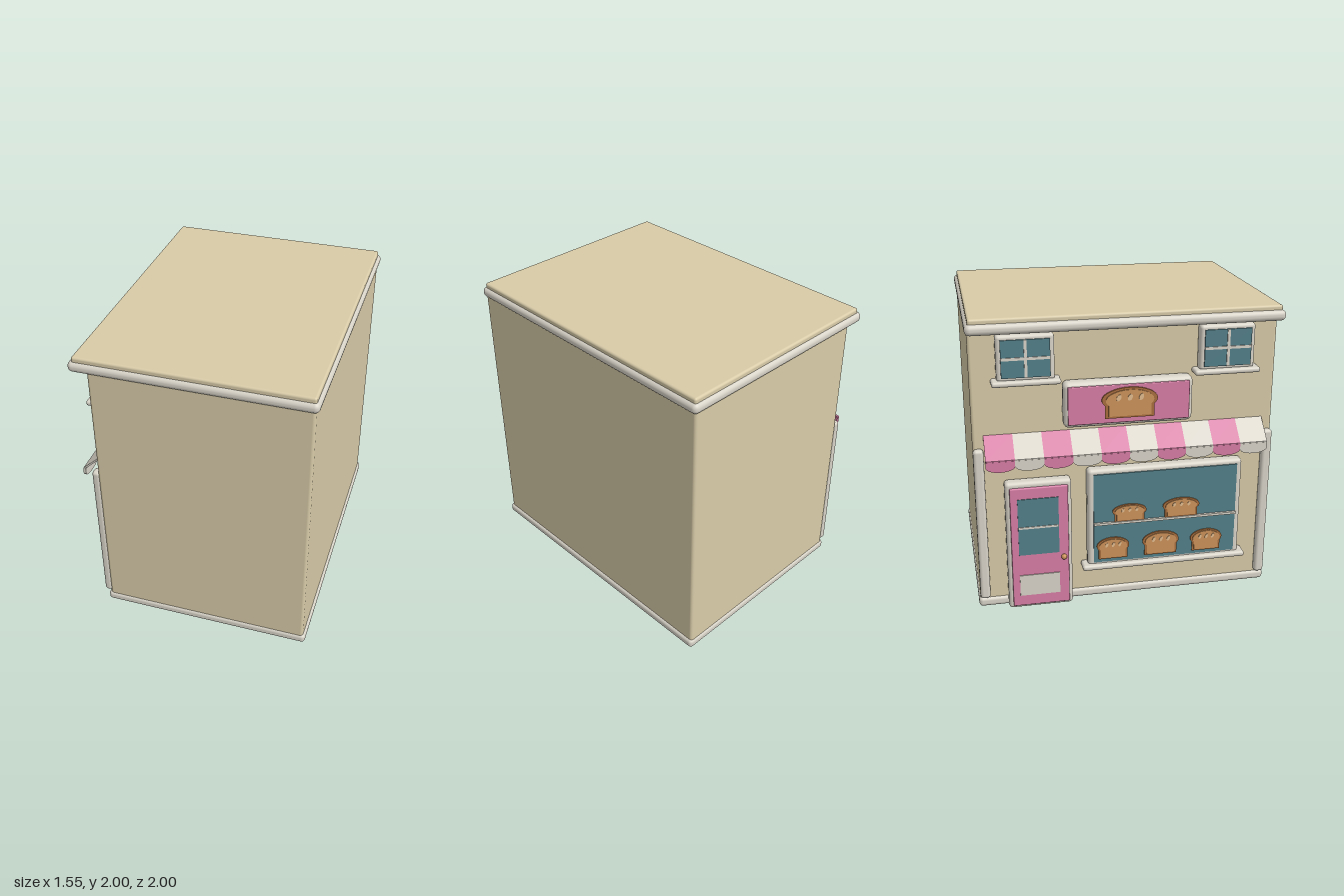
import * as THREE from 'three';
import { RoundedBoxGeometry } from 'three/addons/geometries/RoundedBoxGeometry.js';

const material = (name, color) => {
  const m = new THREE.MeshStandardMaterial({ color });
  m.name = name;
  return m;
};

export function createModel() {
  const wall = material('wall beige', 0xd8cba8);
  const trim = material('trim white', 0xd9d4c9);
  const pink = material('shop pink', 0xd87fa6);
  const glass = material('glass teal', 0x54808a);
  const crust = material('bread crust', 0xa86f3e);
  const bread = material('bread golden', 0xcd935a);
  const slash = material('bread slash', 0xe3bd90);

  const shop = new THREE.Group();
  shop.name = 'bakeryShop';

  const add = (parent, name, geometry, mat) => {
    const mesh = new THREE.Mesh(geometry, mat);
    mesh.name = name;
    parent.add(mesh);
    return mesh;
  };
  const group = (name) => {
    const g = new THREE.Group();
    g.name = name;
    shop.add(g);
    return g;
  };

  // Box given by its limits on each axis, with rounded edges when r > 0
  const block = (parent, name, mat, [x0, x1], [y0, y1], [z0, z1], r = 0) => {
    const size = [x1 - x0, y1 - y0, z1 - z0];
    const geo = r ? new RoundedBoxGeometry(...size, 3, r) : new THREE.BoxGeometry(...size);
    const mesh = add(parent, name, geo, mat);
    mesh.position.set((x0 + x1) / 2, (y0 + y1) / 2, (z0 + z1) / 2);
    return mesh;
  };

  // Flat shape drawn in (z, y), extruded outwards towards -x
  const plate = (parent, name, mat, shape, x, y, z, depth) => {
    const geo = new THREE.ExtrudeGeometry(shape, { depth, bevelEnabled: false, curveSegments: 10 });
    geo.rotateY(-Math.PI / 2);
    const mesh = add(parent, name, geo, mat);
    mesh.position.set(x, y, z);
    return mesh;
  };

  // Building shell
  block(shop, 'walls', wall, [-0.64, 0.755], [0, 1.92], [-0.985, 0.985], 0.02);
  block(shop, 'baseTrim', trim, [-0.655, 0.77], [0.004, 0.07], [-0.995, 0.995], 0.025);
  block(shop, 'cornice', trim, [-0.76, 0.775], [1.9, 1.97], [-1, 1], 0.032);
  block(shop, 'roof', wall, [-0.735, 0.755], [1.95, 2], [-0.98, 0.98], 0.015);
  for (const s of [-1, 1]) {
    const z = s * 0.952;
    block(shop, 'pilaster', trim, [-0.685, -0.63], [0.08, 1.145], [z - 0.033, z + 0.033], 0.022);
  }

  // Loaf outline: straight sides and a domed, overhanging top
  const loafShape = (w, h) => {
    const s = new THREE.Shape();
    s.moveTo(-w * 0.44, 0);
    s.lineTo(w * 0.44, 0);
    s.lineTo(w * 0.44, h * 0.42);
    s.bezierCurveTo(w * 0.56, h * 0.6, w * 0.48, h * 0.8, w * 0.32, h * 0.9);
    s.bezierCurveTo(w * 0.15, h * 1.03, -w * 0.15, h * 1.03, -w * 0.32, h * 0.9);
    s.bezierCurveTo(-w * 0.48, h * 0.8, -w * 0.56, h * 0.6, -w * 0.44, h * 0.42);
    s.closePath();
    return s;
  };
  const loaf = (name, x, y, z, w, h, depth) => {
    const g = group(name);
    plate(g, 'crust', crust, loafShape(w, h), x, y, z, depth);
    plate(g, 'crumb', bread, loafShape(w * 0.86, h * 0.86), x - depth, y + h * 0.07, z, 0.006);
    for (const i of [-1, 0, 1]) {
      const cut = new THREE.Shape();
      cut.absellipse(0, 0, w * 0.04, h * 0.11, 0, Math.PI * 2, false, 0);
      const m = plate(g, 'slash', slash, cut, x - depth - 0.006, y + h * 0.68, z + i * w * 0.2, 0.004);
      m.rotation.x = 0.4;
    }
  };

  // Door
  const door = group('door');
  block(door, 'doorFrame', trim, [-0.715, -0.63], [0.005, 0.92], [-0.8, -0.37], 0.025);
  block(door, 'doorLeaf', pink, [-0.73, -0.68], [0.03, 0.885], [-0.772, -0.395], 0.008);
  block(door, 'doorGlass', glass, [-0.735, -0.728], [0.41, 0.81], [-0.725, -0.46]);
  block(door, 'doorMuntin', trim, [-0.739, -0.73], [0.6, 0.614], [-0.725, -0.46]);
  block(door, 'doorPanel', trim, [-0.736, -0.728], [0.11, 0.26], [-0.725, -0.46]);
  add(door, 'doorKnob', new THREE.SphereGeometry(0.019, 16, 12), bread).position.set(-0.738, 0.375, -0.43);

  // Display window with shelf and loaves
  const display = group('displayWindow');
  block(display, 'displayFrame', trim, [-0.715, -0.63], [0.26, 0.967], [-0.265, 0.775], 0.025);
  block(display, 'displayGlass', glass, [-0.723, -0.7], [0.3, 0.935], [-0.228, 0.738]);
  block(display, 'displaySill', trim, [-0.748, -0.64], [0.25, 0.288], [-0.305, 0.815], 0.017);
  block(display, 'shelf', trim, [-0.74, -0.715], [0.578, 0.594], [-0.228, 0.738]);
  for (const [z, y, w, h] of [
    [-0.1, 0.325, 0.22, 0.155], [0.225, 0.325, 0.25, 0.17], [0.54, 0.325, 0.22, 0.155],
    [0.01, 0.594, 0.23, 0.12], [0.36, 0.594, 0.25, 0.135],
  ]) loaf('displayLoaf', -0.72, y, z, w, h, 0.012);

  // Sign board with a loaf emblem
  const sign = group('sign');
  block(sign, 'signBoard', trim, [-0.735, -0.63], [1.27, 1.57], [-0.415, 0.415], 0.036);
  block(sign, 'signPanel', pink, [-0.745, -0.72], [1.295, 1.545], [-0.39, 0.39], 0.006);
  loaf('signLoaf', -0.744, 1.33, 0, 0.36, 0.2, 0.012);

  // Upper windows
  for (const s of [-1, 1]) {
    const z = s * 0.64;
    const win = group('upperWindow');
    block(win, 'windowFrame', trim, [-0.705, -0.63], [1.59, 1.885], [z - 0.18, z + 0.18], 0.022);
    block(win, 'windowGlass', glass, [-0.714, -0.7], [1.618, 1.857], [z - 0.152, z + 0.152]);
    block(win, 'windowSill', trim, [-0.737, -0.63], [1.567, 1.602], [z - 0.215, z + 0.215], 0.016);
    block(win, 'verticalMuntin', trim, [-0.721, -0.713], [1.618, 1.857], [z - 0.009, z + 0.009]);
    block(win, 'crossMuntin', trim, [-0.72, -0.713], [1.73, 1.748], [z - 0.152, z + 0.152]);
  }

  // Striped awning: sloped strips, each ending in a scalloped valance
  const awning = group('awning');
  const strips = 10, left = -0.915, w = 0.183;
  const slope = new THREE.Shape([
    [0.635, 1.235], [0.775, 1.107], [0.775, 1.092], [0.635, 1.22],
  ].map(([x, y]) => new THREE.Vector2(-x, y)));
  const valance = new THREE.Shape();
  valance.moveTo(-w / 2, 0.07);
  valance.lineTo(-w / 2, 0.03);
  valance.bezierCurveTo(-w * 0.42, -0.012, w * 0.42, -0.012, w / 2, 0.03);
  valance.lineTo(w / 2, 0.07);
  valance.closePath();
  for (let i = 0; i < strips; i++) {
    const mat = i % 2 ? trim : pink;
    const geo = new THREE.ExtrudeGeometry(slope, { depth: w, bevelEnabled: false });
    add(awning, 'awningStripe', geo, mat).position.z = left + i * w;
    plate(awning, 'awningScallop', mat, valance, -0.759, 1.03, left + (i + 0.5) * w, 0.018);
  }

  return shop;
}
